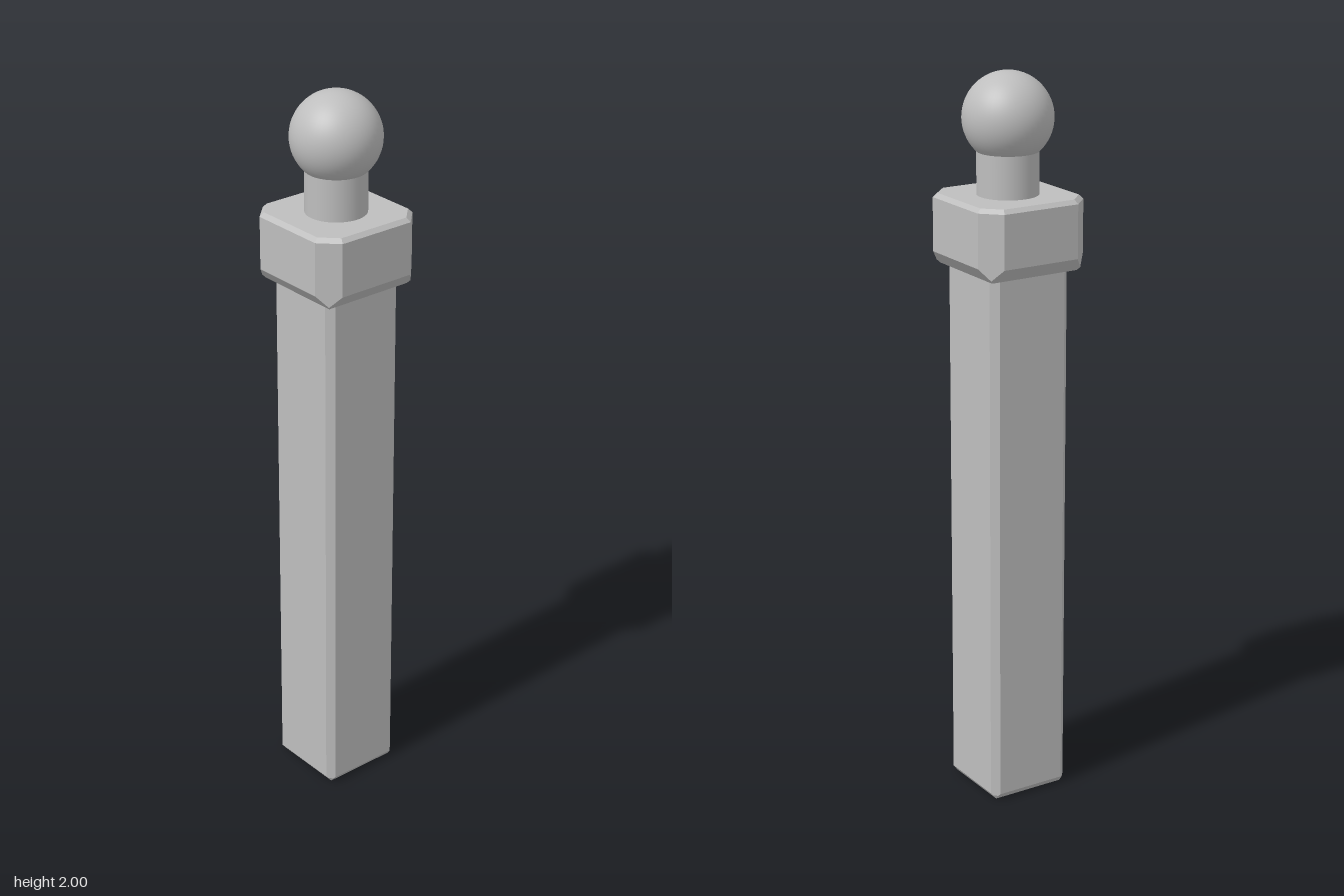
import * as THREE from 'three';
import { ConvexGeometry } from 'three/addons/geometries/ConvexGeometry.js';

// Convex block from square sections [y, half width, corner]; corner is where
// the flat side ends and the diagonal chamfer begins.
function chamferedBlock(sections) {
  const points = [];
  for (const [y, half, corner] of sections) {
    for (const sx of [-1, 1]) {
      for (const sz of [-1, 1]) {
        points.push(new THREE.Vector3(sx * half, y, sz * corner));
        if (corner < half) points.push(new THREE.Vector3(sx * corner, y, sz * half));
      }
    }
  }
  return new ConvexGeometry(points);
}

export function createModel() {
  const model = new THREE.Group();
  model.name = 'post';

  const grey = new THREE.MeshStandardMaterial({ color: 0xbebebe });
  grey.name = 'grey';

  const add = (name, geometry, y = 0) => {
    const mesh = new THREE.Mesh(geometry, grey);
    mesh.name = name;
    mesh.position.y = y;
    model.add(mesh);
  };

  // Long square shaft with narrow chamfered edges and a bevelled foot
  add('shaft', chamferedBlock([
    [0, 0.105, 0.105],
    [0.0125, 0.1145, 0.1045],
    [0.018, 0.119, 0.1],
    [1.5, 0.119, 0.1],
  ]));

  // Wide collar: its corner chamfers run out to a point in the lower bevel
  add('collar', chamferedBlock([
    [1.485, 0.13, 0.13],
    [1.493, 0.1365, 0.1365],
    [1.523, 0.161, 0.112],
    [1.668, 0.161, 0.112],
    [1.679, 0.15, 0.107],
  ]));

  // Round neck and ball finial
  add('neck', new THREE.CylinderGeometry(0.082, 0.082, 0.15, 48), 1.735);
  add('ball', new THREE.SphereGeometry(0.12, 48, 32), 1.88);

  return model;
}
